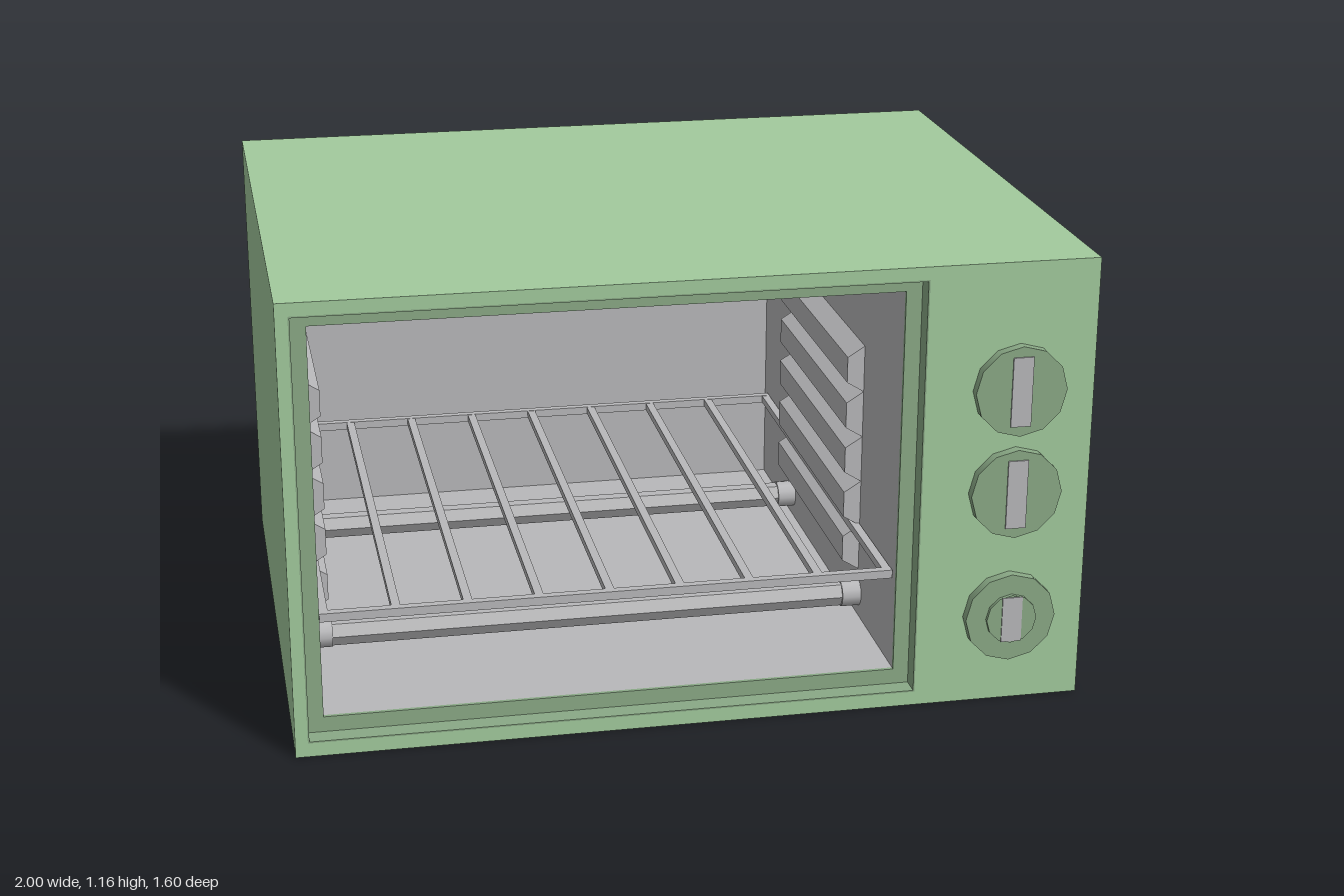
import * as THREE from 'three';

const paint = (name, color) => Object.assign(new THREE.MeshStandardMaterial({ color }), { name });

export function createModel() {
  const green = paint('light green enamel', 0xa2ca9d);
  const darkGreen = paint('dark green trim', 0x8aa986);
  const grey = paint('grey metal', 0xb8b8ba);
  const flatGrey = grey;

  const oven = new THREE.Group();
  oven.name = 'toasterOven';

  const add = (name, geometry, material, x = 0, y = 0, z = 0, parent = oven) => {
    const mesh = new THREE.Mesh(geometry, material);
    mesh.name = name;
    mesh.position.set(x, y, z);
    parent.add(mesh);
    return mesh;
  };
  const box = (name, w, h, d, material, x, y, z, parent) =>
    add(name, new THREE.BoxGeometry(w, h, d), material, x, y, z, parent);

  // Rectangles are [left, bottom, right, top]
  const corners = ([l, b, r, t]) =>
    [[l, b], [r, b], [r, t], [l, t]].map(([x, y]) => new THREE.Vector2(x, y));
  const grow = ([l, b, r, t], s) => [l - s, b - s, r + s, t + s];
  const ring = (name, outer, inner, z0, z1, material) => {
    const shape = new THREE.Shape(corners(outer));
    shape.holes.push(new THREE.Path(corners(inner).reverse()));
    const geometry = new THREE.ExtrudeGeometry(shape, { depth: z1 - z0, bevelEnabled: false });
    return add(name, geometry, material, 0, 0, z0);
  };

  const body = [-1, 0, 1, 1.165];
  const recess = [-0.965, 0.04, 0.565, 1.128];
  const cavity = [-0.925, 0.08, 0.525, 1.09];
  const midX = (cavity[0] + cavity[2]) / 2;
  const width = cavity[2] - cavity[0];

  // Housing with recessed door frame
  ring('housing', body, grow(recess, 0.004), -0.75, 0.76, green);
  box('backPanel', 2, 1.165, 0.05, green, 0, 1.165 / 2, -0.775);
  ring('recessLining', grow(recess, 0.004), recess, 0.71, 0.76, darkGreen);
  ring('doorFrame', recess, cavity, 0.7, 0.71, darkGreen);

  // Cooking chamber
  ring('chamberWalls', grow(cavity, 0.02), cavity, -0.74, 0.7, grey);
  box('chamberBack', width, 1.01, 0.02, grey, midX, 0.585, -0.73);

  // Rack supports: a stack of ridges on each side wall
  const ridge = new THREE.Shape(
    [[0, 0], [0.045, 0.028], [0.045, 0.097], [0, 0.125]].map(([x, y]) => new THREE.Vector2(x, y)));
  const ridgeGeometry = new THREE.ExtrudeGeometry(ridge, { depth: 0.72, bevelEnabled: false });
  for (let i = 0; i < 5; i++) {
    const y = 0.21 + i * 0.125;
    add('leftWallRidge', ridgeGeometry, grey, cavity[0], y, -0.36);
    const mirrored = add('rightWallRidge', ridgeGeometry, grey, cavity[2], y, 0.36);
    mirrored.rotation.y = Math.PI;
  }

  // Heating rods with round end caps
  const rodGeometry = new THREE.CylinderGeometry(0.034, 0.034, width, 6).toNonIndexed();
  rodGeometry.computeVertexNormals();
  const capGeometry = new THREE.CylinderGeometry(0.037, 0.037, 0.05, 12);
  for (const y of [0.145, 1.025]) {
    for (const z of [-0.36, 0.36]) {
      const rod = new THREE.Group();
      rod.name = 'heatingRod';
      rod.position.set(midX, y, z);
      rod.rotation.z = Math.PI / 2;
      add('rod', rodGeometry, flatGrey, 0, 0, 0, rod);
      for (const s of [-1, 1]) add('rodCap', capGeometry, grey, 0, s * (width / 2 - 0.025), 0, rod);
      oven.add(rod);
    }
  }

  // Wire rack
  const rack = new THREE.Group();
  rack.name = 'rack';
  rack.position.set(midX, 0.332, 0);
  oven.add(rack);
  for (const s of [-1, 1]) {
    box('rackRail', width - 0.004, 0.022, 0.022, grey, 0, 0, s * 0.67, rack);
  }
  const bars = 8;
  for (let i = 0; i <= bars; i++) {
    const x = (i / bars - 0.5) * (width - 0.026);
    box('rackBar', 0.022, 0.02, 1.32, grey, x, 0, 0, rack);
  }

  // Control knobs; the lowest has a raised hub
  const disc = (name, radius, depth, z, parent) => {
    const mesh = add(name, new THREE.CylinderGeometry(radius, radius, depth, 12), darkGreen, 0, 0, z, parent);
    mesh.rotation.x = Math.PI / 2;
  };
  for (const [y, hub] of [[0.84, false], [0.57, false], [0.235, true]]) {
    const knob = new THREE.Group();
    knob.name = 'knob';
    knob.position.set(0.805, y, 0.76);
    disc('knobDial', 0.117, 0.027, 0.0135, knob);
    if (hub) disc('knobHub', 0.065, 0.01, 0.032, knob);
    box('knobPointer', 0.052, hub ? 0.12 : 0.18, 0.004, grey, 0, 0, hub ? 0.038 : 0.029, knob);
    oven.add(knob);
  }

  return oven;
}
